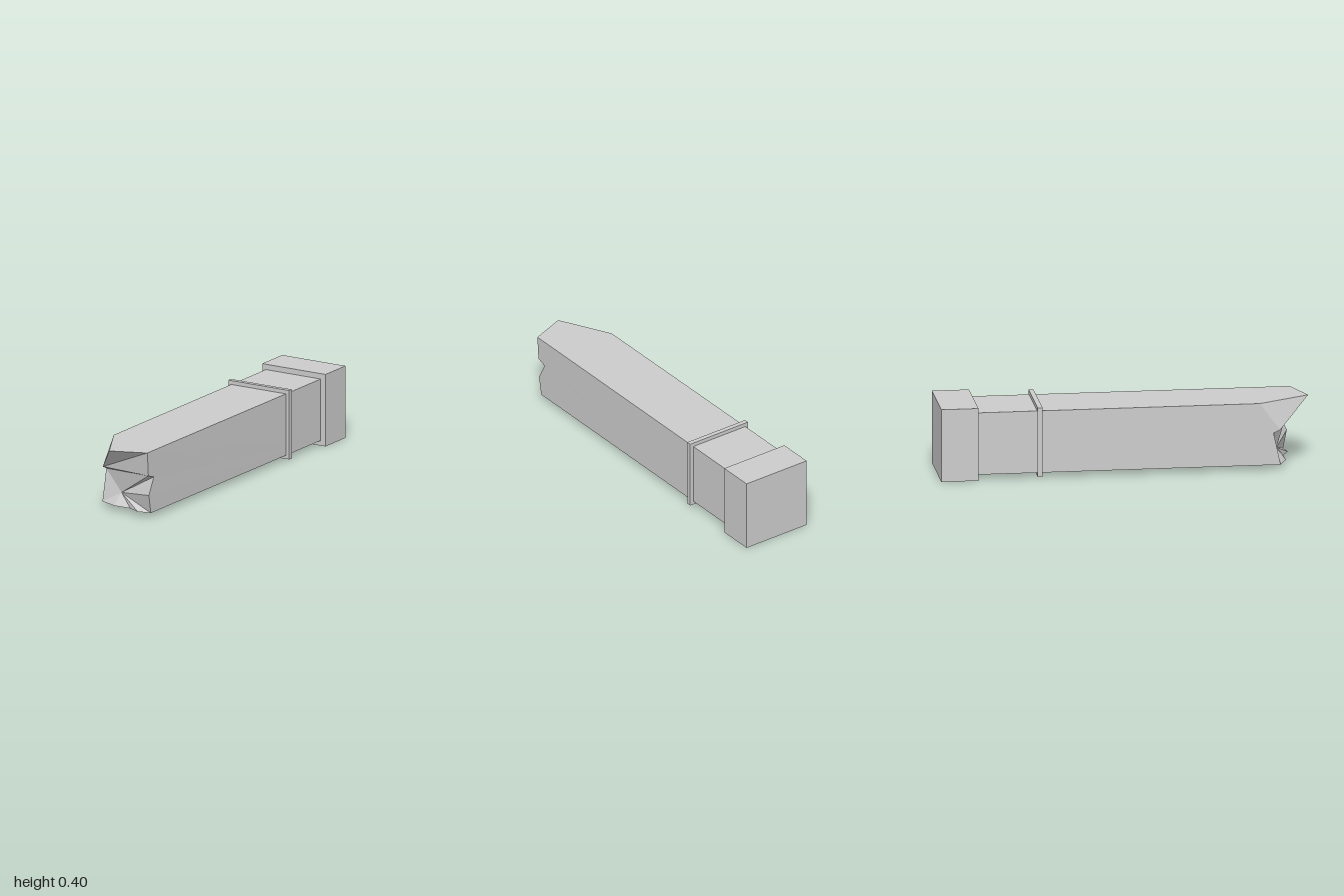
import * as THREE from 'three';

const material = new THREE.MeshStandardMaterial({ color: 0xcccccc, flatShading: true });

function addBox(group, name, size, position) {
  const mesh = new THREE.Mesh(new THREE.BoxGeometry(...size), material);
  mesh.name = name;
  mesh.position.set(...position);
  group.add(mesh);
}

// Square shaft with a jagged, broken front end
function shaftGeometry() {
  const xl = -0.178, yb = 0.028, yt = 0.37, zb = -0.85;

  // back corners, buried in the base block
  const backBL = [xl, yb, zb], backBR = [0.17, yb, zb];
  const backTL = [xl, yt, zb], backTR = [0.17, yt, zb];

  // broken edge along each side of the shaft
  const tip = [-0.03, yt, 1];
  const minusX = [[yt, 0.72], [0.22, 0.83], [0.203, 0.795], [yb, 0.833]].map(([y, z]) => [xl, y, z]);
  const plusX = [[yt, 0.925], [0.24, 0.915], [0.222, 0.86], [0.13, 0.91], [yb, 0.89]].map(([y, z]) => [0.164, y, z]);
  const bottom = [[-0.08, 0.873], [0.022, 0.872], [0.09, 0.906]].map(([x, z]) => [x, yb, z]);
  const hollow = [-0.062, 0.093, 0.825];

  // faces, each a fan around its first corner
  const faces = [
    [backTL, minusX[0], tip, plusX[0], backTR],
    [backBL, backBR, plusX[4], ...[...bottom].reverse(), minusX[3]],
    [backBR, backTR, ...plusX],
    [backBL, ...[...minusX].reverse(), backTL],
    [backBL, backTL, backTR, backBR],
    [minusX[0], minusX[1], tip],
    [minusX[1], plusX[0], tip],
    [minusX[1], minusX[2], plusX[1], plusX[0]],
    [hollow, minusX[2], minusX[3], ...bottom, ...plusX.slice(1).reverse(), minusX[2]],
  ];
  const positions = [];
  for (const f of faces) {
    for (let i = 1; i < f.length - 1; i++) positions.push(...f[0], ...f[i], ...f[i + 1]);
  }
  const geometry = new THREE.BufferGeometry();
  geometry.setAttribute('position', new THREE.Float32BufferAttribute(positions, 3));
  geometry.computeVertexNormals();
  return geometry;
}

export function createModel() {
  const group = new THREE.Group();
  group.name = 'brokenPillar';

  const shaft = new THREE.Mesh(shaftGeometry(), material);
  shaft.name = 'shaft';
  group.add(shaft);

  // Base block and the thin band around the shaft
  addBox(group, 'baseBlock', [0.4, 0.4, 0.2], [0, 0.2, -0.9]);
  addBox(group, 'band', [0.385, 0.383, 0.026], [-0.003, 0.2, -0.467]);
  return group;
}
